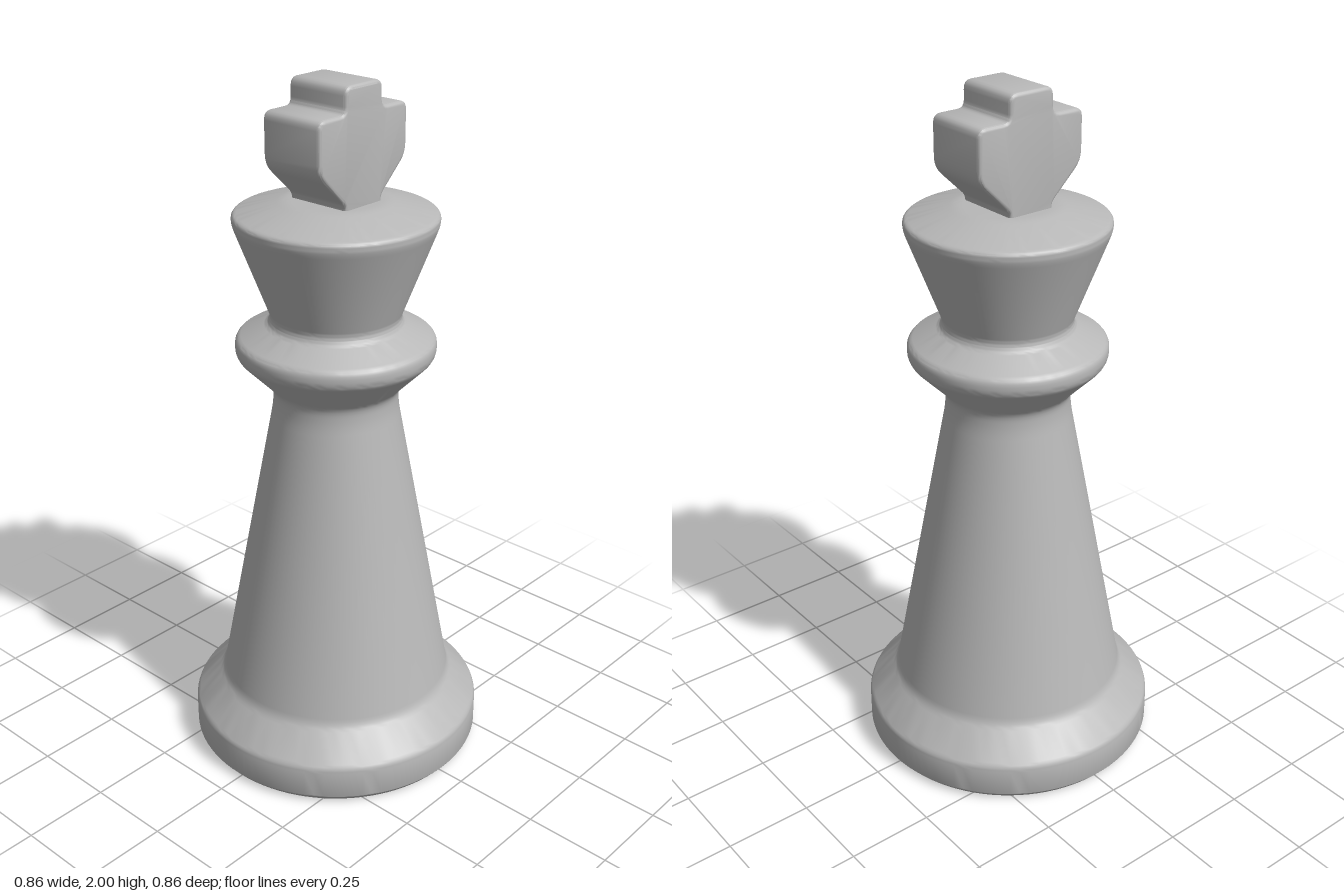
import * as THREE from 'three';
import { toCreasedNormals } from 'three/addons/utils/BufferGeometryUtils.js';

// Replaces a corner by a short arc; each corner is [x, y, radius]
function roundCorner(prev, corner, next, steps = 4) {
  const c = new THREE.Vector2(corner[0], corner[1]);
  const toward = (p) => {
    const d = new THREE.Vector2(p[0], p[1]).sub(c);
    return d.setLength(Math.min(corner[2], d.length() * 0.45)).add(c);
  };
  return new THREE.QuadraticBezierCurve(toward(prev), c, toward(next)).getPoints(steps);
}

export function createModel() {
  const group = new THREE.Group();
  group.name = 'chessKing';
  const grey = new THREE.MeshStandardMaterial({ color: 0xb8b8b8 });
  grey.name = 'grey';

  // Turned body: base, tapered column, collar and flared crown
  const profile = [
    [0, 0, 0],
    [0.415, 0, 0.003],
    [0.432, 0.02, 0.003],
    [0.432, 0.115, 0.015],
    [0.343, 0.205, 0.02],
    [0.178, 1.085, 0.03],
    [0.178, 1.135, 0.02],
    [0.282, 1.24, 0.018],
    [0.282, 1.285, 0.018],
    [0.19, 1.328, 0.012],
    [0.182, 1.35, 0.012],
    [0.283, 1.615, 0.018],
    [0.283, 1.64, 0.015],
    [0.14, 1.677, 0.02],
    [0, 1.677, 0],
  ];
  const last = profile.length - 1;
  const points = profile.flatMap((p, i) =>
    i === 0 || i === last
      ? [new THREE.Vector2(p[0], p[1])]
      : roundCorner(profile[i - 1], p, profile[i + 1]));
  const body = new THREE.Mesh(
    toCreasedNormals(new THREE.LatheGeometry(points, 96), 0.5), grey);
  body.name = 'turnedBody';
  group.add(body);

  // Cross finial: right half of the outline, mirrored to the left
  const half = [
    [0.072, 1.66, 0.005],
    [0.072, 1.69, 0.015],
    [0.172, 1.785, 0.03],
    [0.172, 1.928, 0.025],
    [0.072, 1.928, 0.02],
    [0.072, 2.0, 0.025],
  ];
  const outline = [...half, ...half.map(([x, y, r]) => [-x, y, r]).reverse()];
  const n = outline.length;
  const shape = new THREE.Shape(outline.flatMap((p, i) =>
    roundCorner(outline[(i + n - 1) % n], p, outline[(i + 1) % n])));
  const bevel = 0.01;
  const crossGeometry = new THREE.ExtrudeGeometry(shape, {
    depth: 0.2 - 2 * bevel,
    bevelThickness: bevel,
    bevelSize: bevel,
    bevelOffset: -bevel,
    bevelSegments: 3,
  });
  crossGeometry.translate(0, 0, bevel - 0.1);
  const cross = new THREE.Mesh(toCreasedNormals(crossGeometry, 0.6), grey);
  cross.name = 'crossFinial';
  group.add(cross);

  return group;
}
